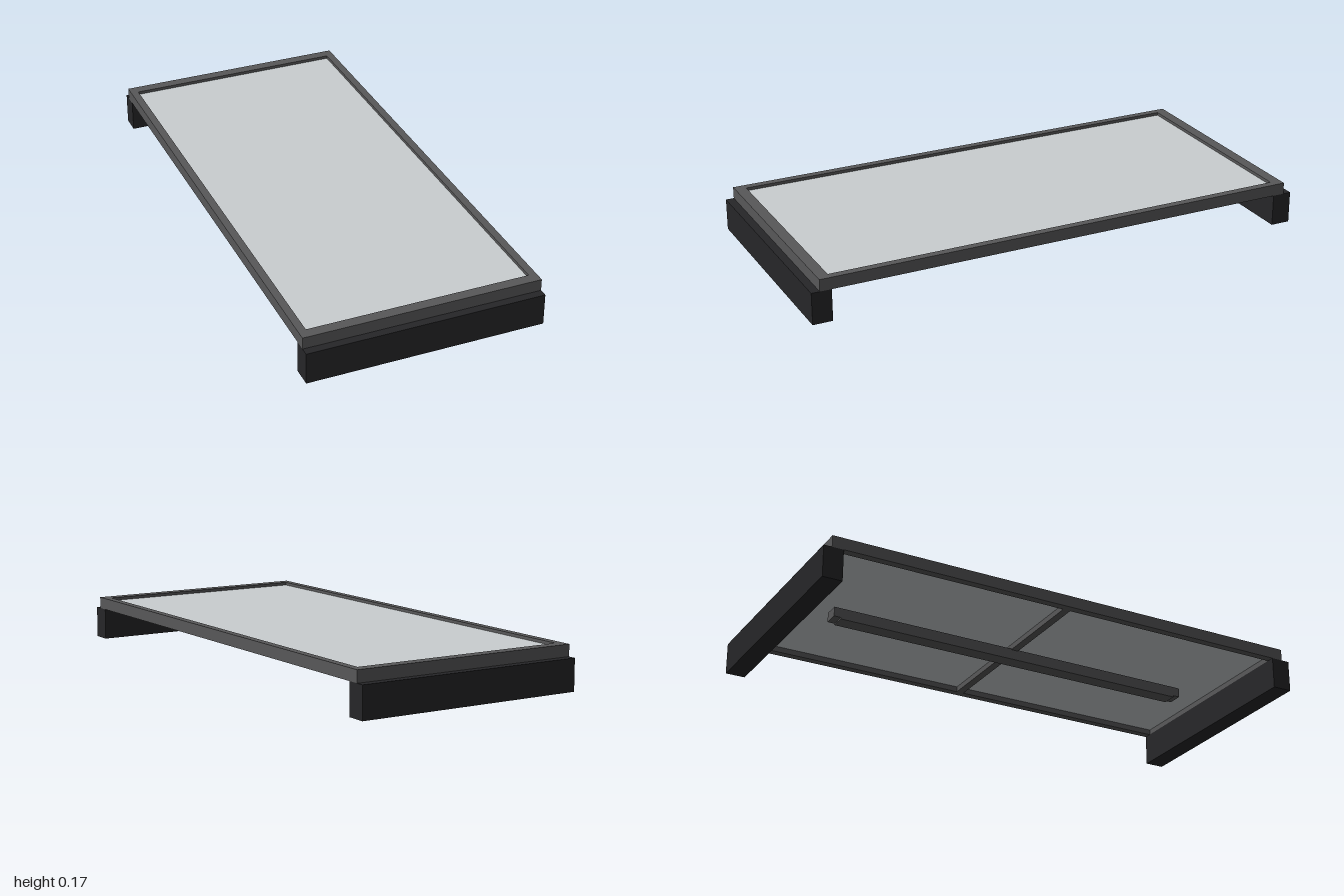
import * as THREE from 'three';

const frameMat = new THREE.MeshStandardMaterial({ color: 0x585859 });
const footMat = new THREE.MeshStandardMaterial({ color: 0x262628 });
const panelMat = new THREE.MeshStandardMaterial({ color: 0xc9ced0 });

// Box given by its size, bottom height and z position
function box(name, w, h, d, bottom, z, material) {
  const mesh = new THREE.Mesh(new THREE.BoxGeometry(w, h, d), material);
  mesh.name = name;
  mesh.position.set(0, bottom + h / 2, z);
  return mesh;
}

function rectangle(target, hx, hz) {
  target.moveTo(-hx, -hz);
  target.lineTo(hx, -hz);
  target.lineTo(hx, hz);
  target.lineTo(-hx, hz);
  target.closePath();
  return target;
}

export function createModel() {
  const group = new THREE.Group();
  group.name = 'framedPanel';

  // Rectangular rim with an open middle
  const outline = rectangle(new THREE.Shape(), 0.46, 0.968);
  outline.holes.push(rectangle(new THREE.Path(), 0.43, 0.925));
  const rimGeometry = new THREE.ExtrudeGeometry(outline, { depth: 0.046, bevelEnabled: false });
  rimGeometry.rotateX(-Math.PI / 2);
  const rim = new THREE.Mesh(rimGeometry, frameMat);
  rim.name = 'frame';
  rim.position.y = 0.124;
  group.add(rim);

  // Panel set a little below the rim
  group.add(box('panel', 0.86, 0.012, 1.85, 0.146, 0, panelMat));

  // Cross brace and long spine under the panel
  group.add(box('crossBrace', 0.86, 0.022, 0.03, 0.124, 0, frameMat));
  group.add(box('spine', 0.06, 0.038, 1.535, 0.09, 0, frameMat));
  group.add(box('spineStrip', 0.06, 0.006, 1.48, 0.084, 0, frameMat));

  // Full-width feet at both ends
  for (const [name, side] of [['frontFoot', 1], ['backFoot', -1]]) {
    group.add(box(name, 0.92, 0.124, 0.077, 0, side * 0.9615, footMat));
  }
  return group;
}
